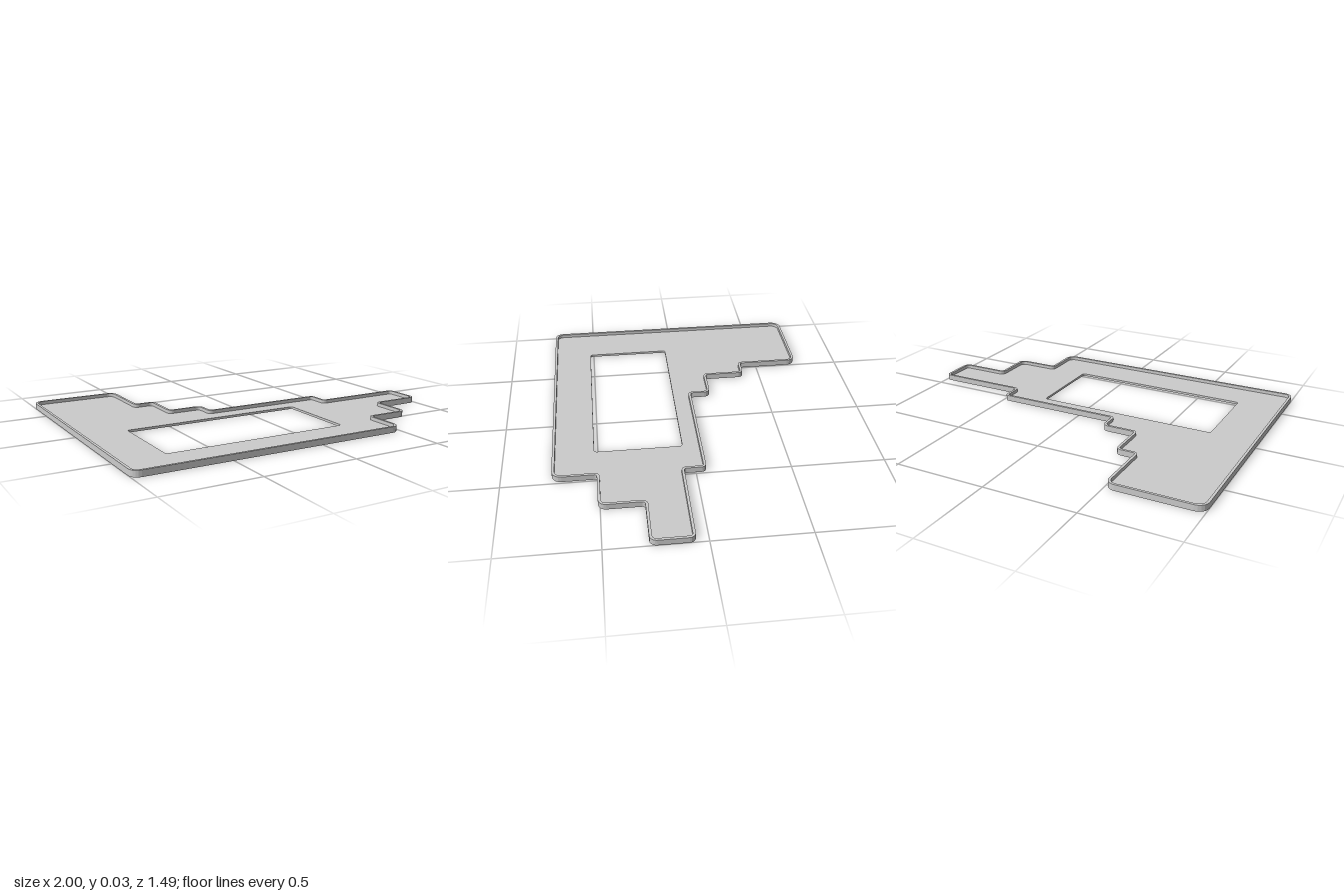
import * as THREE from 'three';

const HEIGHT = 0.032, FLOOR = 0.013, RIM = 0.014;

// Plan corners as [x, z, corner radius]
const OUTLINE = [
  [-1, -0.745, 0.055], [-0.505, -0.745, 0.05], [-0.505, -0.4, 0.012], [-0.395, -0.4, 0.03],
  [-0.395, -0.17, 0.012], [-0.205, -0.17, 0.035], [-0.205, -0.055, 0.012], [0.49, -0.055, 0.025],
  [0.49, 0.062, 0.012], [1, 0.062, 0.03], [1, 0.28, 0.035], [0.725, 0.28, 0.015],
  [0.725, 0.51, 0.04], [0.49, 0.51, 0.012], [0.49, 0.74, 0.05], [-1, 0.74, 0.045],
];
const WINDOW = [[-0.74, 0.047, 0.015], [0.275, 0.047, 0.015], [0.275, 0.52, 0.015], [-0.74, 0.52, 0.015]];

// Rounded right-angled outline, moved inward by `inset`
function trace(path, corners, inset = 0) {
  const n = corners.length;
  const pts = corners.map(([x, z, r], i) => {
    const [px, pz] = corners[(i + n - 1) % n], [qx, qz] = corners[(i + 1) % n];
    const a = new THREE.Vector2(x - px, z - pz).normalize();
    const b = new THREE.Vector2(qx - x, qz - z).normalize();
    const convex = a.cross(b) > 0;
    const p = new THREE.Vector2(x - (a.y + b.y) * inset, z + (a.x + b.x) * inset);
    return { p, a, b, r: convex ? Math.max(r - inset, 0.006) : r + inset };
  });
  pts.forEach(({ p, a, b, r }, i) => {
    const s = p.clone().addScaledVector(a, -r), e = p.clone().addScaledVector(b, r);
    if (i === 0) path.moveTo(s.x, s.y);
    else path.lineTo(s.x, s.y);
    const k = 0.55 * r;
    path.bezierCurveTo(s.x + a.x * k, s.y + a.y * k, e.x - b.x * k, e.y - b.y * k, e.x, e.y);
  });
  path.closePath();
  return path;
}

// Flat slab standing on y = 0
function slab(name, shape, hole, height, material) {
  shape.holes.push(hole);
  const geo = new THREE.ExtrudeGeometry(shape, { depth: height, bevelEnabled: false, curveSegments: 5 });
  geo.rotateX(Math.PI / 2).translate(0, height, 0);
  const mesh = new THREE.Mesh(geo, material);
  mesh.name = name;
  return mesh;
}

export function createModel() {
  const group = new THREE.Group();
  group.name = 'steppedTray';
  const material = new THREE.MeshStandardMaterial({ color: 0xcccccc });

  // Floor with the rectangular window
  group.add(slab('floor', trace(new THREE.Shape(), OUTLINE, RIM), trace(new THREE.Path(), WINDOW), FLOOR, material));
  // Thin raised wall around the outside
  group.add(slab('rim', trace(new THREE.Shape(), OUTLINE), trace(new THREE.Path(), OUTLINE, RIM), HEIGHT, material));
  return group;
}
